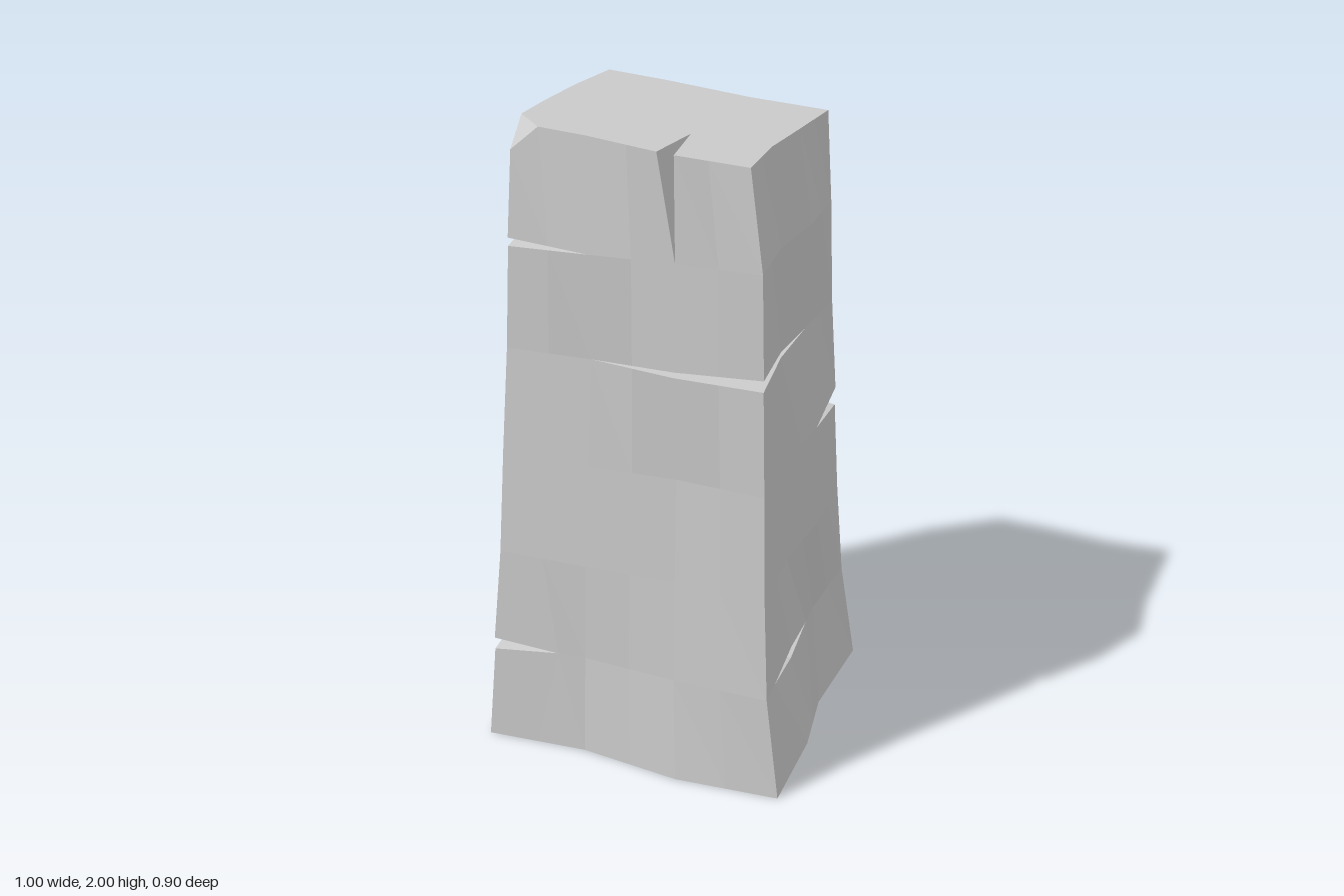
import * as THREE from 'three';

const N = 24; // points per ring, starting at the front -x corner, running towards +x
const V = (x, y, z) => new THREE.Vector3(x, y, z);

// Outlines (x, z) of the foot and the top, three segments per side
const FOOT = [[-0.47, 0.43], [-0.15, 0.41], [0.17, 0.45], [0.495, 0.43], [0.5, 0.13], [0.47, -0.1],
  [0.495, -0.44], [0.17, -0.42], [-0.15, -0.455], [-0.47, -0.44], [-0.505, -0.15], [-0.465, 0.13]];
const TOP = [[-0.365, 0.325], [-0.14, 0.315], [0.1, 0.33], [0.33, 0.305], [0.325, 0.1], [0.345, -0.1],
  [0.365, -0.315], [0.13, -0.295], [-0.14, -0.305], [-0.325, -0.3], [-0.35, -0.1], [-0.362, 0.1]];

// Height and corner half-sizes of the rings in between
const LEVELS = [[0.335, 0.447, 0.413], [0.66, 0.425, 0.388], [0.99, 0.41, 0.368],
  [1.325, 0.393, 0.345], [1.65, 0.38, 0.335]];

// Cracks: ring, first and last point, widest point, opening, extra depth, slide of the ends
const CRACKS = [
  { ring: 1, from: 7, to: 9, mid: 8, gap: 0.04, depth: 0.1, slide: 0.35 },
  { ring: 1, from: -1, to: 1, mid: 0, gap: 0.04, depth: 0, slide: 0.4 },
  { ring: 2, from: 14, to: 22, mid: 18, gap: 0.04, depth: 0, slide: 0 },
  { ring: 3, from: 10, to: 14, mid: 12, gap: 0.06, depth: 0, slide: 0 },
  { ring: 4, from: 2, to: 10, mid: 6, gap: 0.035, depth: 0, slide: 0 },
  { ring: 4, from: 15, to: 17, mid: 16, gap: 0.06, depth: 0.1, slide: 0 },
  { ring: 5, from: -2, to: 2, mid: 0, gap: 0.025, depth: 0, slide: 0 },
];

const wrap = (i) => (i + N) % N;
const topY = (x) => 2 - (x + 0.365) * 0.09;

// Twelve outline points become a ring of 24 with midpoints
function makeRing(outline, yOf) {
  const ring = [];
  outline.forEach(([x, z], i) => {
    const [x2, z2] = outline[(i + 1) % 12];
    const mx = (x + x2) / 2, mz = (z + z2) / 2;
    ring.push(V(x, yOf(x), z), V(mx, yOf(mx), mz));
  });
  return ring;
}

function makeRings() {
  let seed = 11;
  const rand = () => ((seed = (seed * 16807) % 2147483647) / 2147483647) - 0.5;
  const rings = [makeRing(FOOT, () => 0)];
  for (const [y, hx, hz] of LEVELS) {
    const corners = [[-hx, hz], [hx, hz], [hx, -hz], [-hx, -hz]];
    const outline = [];
    corners.forEach(([x, z], s) => {
      const [x2, z2] = corners[(s + 1) % 4];
      outline.push([x, z]);
      for (const t of [1 / 3, 2 / 3]) {
        // push the side points in and out for a rough hewn face
        const push = rand() * 0.045;
        const px = x + (x2 - x) * t, pz = z + (z2 - z) * t;
        outline.push(s % 2 ? [px + push, pz] : [px, pz + push]);
      }
    });
    rings.push(makeRing(outline, () => y));
  }
  rings.push(makeRing(TOP, topY));
  return rings;
}

function createMesh(name, triangles) {
  const geometry = new THREE.BufferGeometry().setFromPoints(triangles);
  geometry.computeVertexNormals();
  const material = new THREE.MeshStandardMaterial({
    color: 0xcccccc, flatShading: true, side: THREE.DoubleSide,
  });
  const mesh = new THREE.Mesh(geometry, material);
  mesh.name = name;
  return mesh;
}

export function createModel() {
  const rings = makeRings();
  const walls = [], cracks = [], cap = [];
  const quad = (out, a, b, c, d) => out.push(a, b, d, b, c, d);

  // Chipped front corner of the top
  const top = rings[6];
  top[0].y = 1.92;
  top[1].set(-0.28, topY(-0.28), 0.322);
  top[23].set(-0.365, 2, 0.245);

  // Slide the ends of the short cracks outward
  for (const c of CRACKS) {
    const r = rings[c.ring];
    r[wrap(c.from)].lerp(r[wrap(c.from - 1)], c.slide);
    r[wrap(c.to)].lerp(r[wrap(c.to + 1)], c.slide);
  }

  // Each ring has a lower and an upper lip, parted where a crack opens
  const lower = rings.map((r) => r.map((p) => p.clone()));
  const upper = rings.map((r) => r.map((p) => p.clone()));
  for (const c of CRACKS) {
    const r = rings[c.ring], inner = [];
    const a = r[wrap(c.from)], b = r[wrap(c.to)];
    const inward = V(-(a.x + b.x), 0, -(a.z + b.z));
    if (Math.abs(inward.x) > Math.abs(inward.z)) inward.z = 0;
    else inward.x = 0;
    inward.normalize();
    for (let i = c.from; i <= c.to; i++) {
      const open = 1 - Math.abs(i - c.mid) / (c.to - c.mid);
      lower[c.ring][wrap(i)].y -= open * c.gap / 2;
      upper[c.ring][wrap(i)].y += open * c.gap / 2;
      inner.push(a.clone().lerp(b, (i - c.from) / (c.to - c.from)).addScaledVector(inward, c.depth * open));
    }
    for (let i = c.from; i < c.to; i++) {
      const k = i - c.from, p = wrap(i), q = wrap(i + 1);
      quad(cracks, lower[c.ring][p], lower[c.ring][q], inner[k + 1], inner[k]);
      quad(cracks, inner[k], inner[k + 1], upper[c.ring][q], upper[c.ring][p]);
    }
  }

  // Upright split in the front of the top
  const splitL = V(0.07, topY(0.07), 0.328), splitR = V(0.12, topY(0.12), 0.328);
  const splitIn = V(0.097, topY(0.097), 0.13), splitFoot = upper[5][4];
  cracks.push(splitL, splitFoot, splitIn, splitFoot, splitR, splitIn);

  // Walls between the rings
  for (let l = 0; l < 6; l++) {
    for (let i = 0; i < N; i++) {
      const j = wrap(i + 1);
      let c = lower[l + 1][j], d = lower[l + 1][i];
      if (l === 5 && i === 3) c = splitL;
      if (l === 5 && i === 4) d = splitR;
      quad(walls, upper[l][i], upper[l][j], c, d);
    }
  }

  // Sloping top, fanned from the inner end of the split
  const rim = [splitR, ...top.slice(5), ...top.slice(1, 4), splitL];
  for (let i = 0; i < rim.length - 1; i++) cap.push(splitIn, rim[i], rim[i + 1]);
  cap.push(top[0], top[1], top[23]);

  const group = new THREE.Group();
  group.name = 'crackedPillar';
  group.add(createMesh('pillarWalls', walls), createMesh('crackFaces', cracks), createMesh('pillarTop', cap));
  return group;
}
